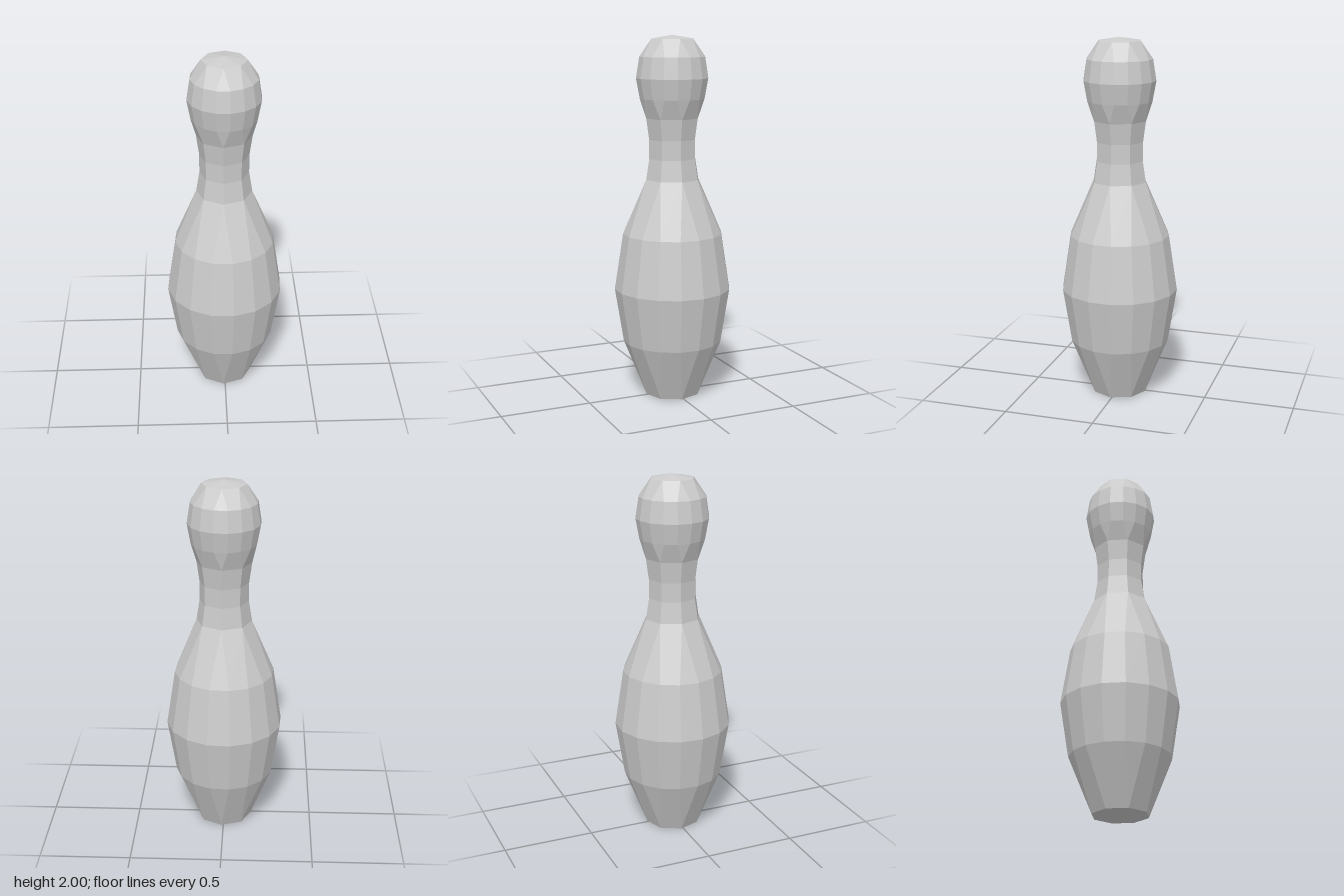
import * as THREE from 'three';

// Profile from base to crown: [radius, height, sides]
const PROFILE = [
  [0, 0, 8], [0.154, 0, 8],
  [0.275, 0.31, 16], [0.323, 0.61, 16], [0.275, 0.92, 16],
  [0.152, 1.22, 8], [0.134, 1.335, 8], [0.134, 1.44, 8], [0.15, 1.555, 8],
  [0.178, 1.66, 16], [0.198, 1.77, 16], [0.18, 1.885, 16],
  [0.12, 1.98, 8], [0, 2, 8],
];
const STEP = Math.PI / 8;
const TURN = THREE.MathUtils.degToRad(3.65);

// Every ring has 16 slots; on an 8-sided ring, pairs of slots share a corner
// that sits over the middle of a 16-sided ring's edge.
function corner([radius, y, sides], slot) {
  const j = slot % 16;
  const a = TURN + STEP * (sides === 8 ? 2 * Math.floor(j / 2) : j - 0.5);
  return new THREE.Vector3(radius * Math.cos(a), y, radius * Math.sin(a));
}

function pinGeometry() {
  const positions = [];
  const triangle = (a, b, c) => {
    const area = b.clone().sub(a).cross(c.clone().sub(a)).length();
    if (area > 1e-6) for (const p of [a, b, c]) positions.push(p.x, p.y, p.z);
  };
  for (let i = 0; i < PROFILE.length - 1; i++) {
    for (let j = 0; j < 16; j++) {
      const a = corner(PROFILE[i], j), b = corner(PROFILE[i], j + 1);
      const c = corner(PROFILE[i + 1], j), d = corner(PROFILE[i + 1], j + 1);
      triangle(a, c, b);
      triangle(b, c, d);
    }
  }
  const geometry = new THREE.BufferGeometry();
  geometry.setAttribute('position', new THREE.Float32BufferAttribute(positions, 3));
  geometry.computeVertexNormals();
  return geometry;
}

export function createModel() {
  const group = new THREE.Group();
  group.name = 'bowlingPin';
  const material = new THREE.MeshStandardMaterial({ color: 0xcccccc, flatShading: true });
  const pin = new THREE.Mesh(pinGeometry(), material);
  pin.name = 'pinBody';
  group.add(pin);
  return group;
}
